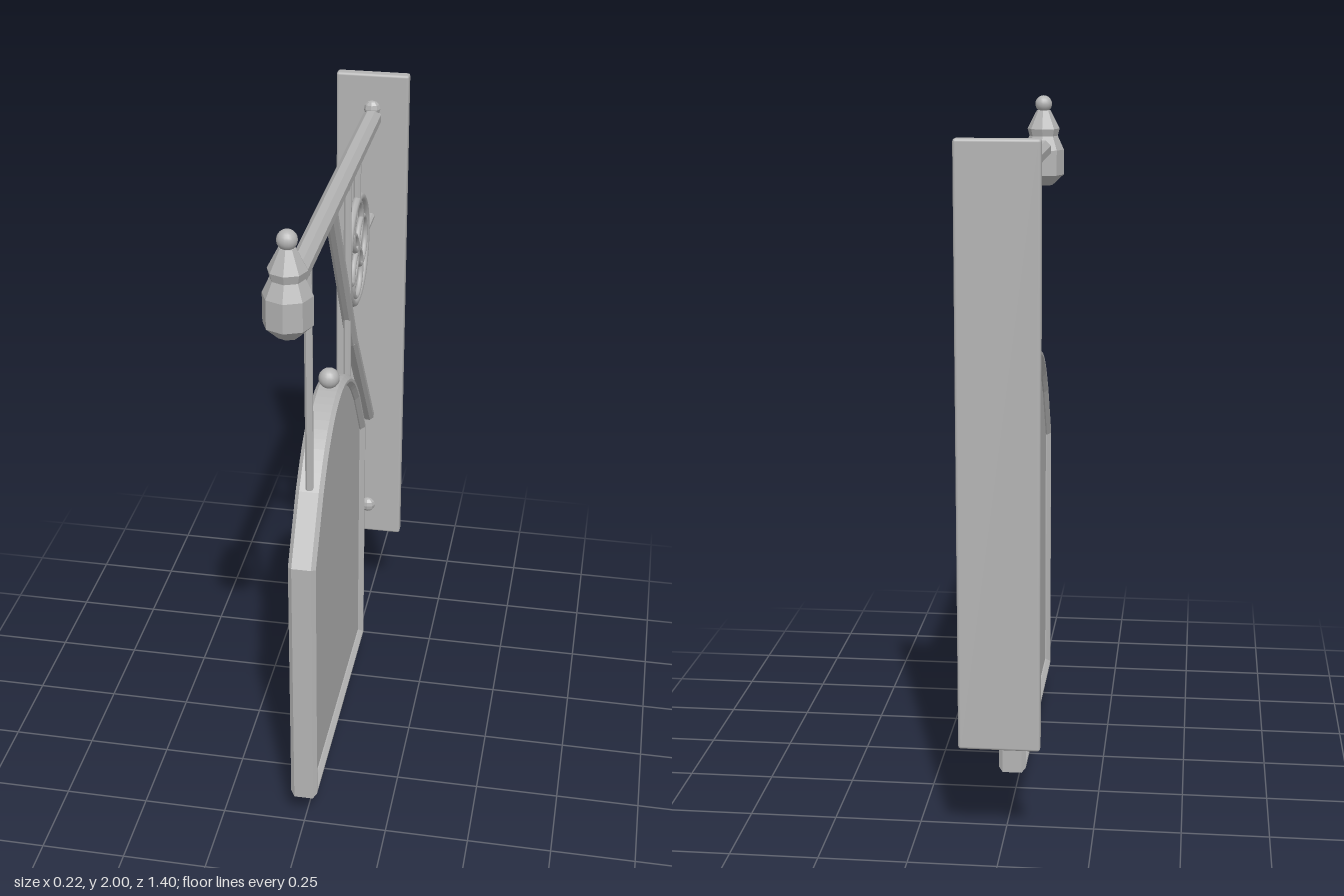
import * as THREE from 'three';
import { RoundedBoxGeometry } from 'three/addons/geometries/RoundedBoxGeometry.js';

const BOARD_Z = 0.075;

export function createModel() {
  const group = new THREE.Group();
  const iron = new THREE.MeshStandardMaterial({ color: 0xb4b4b4 });
  iron.name = 'grey iron';

  const add = (name, geometry, x = 0, y = 0, z = 0) => {
    const mesh = new THREE.Mesh(geometry, iron);
    mesh.name = name;
    mesh.position.set(x, y, z);
    group.add(mesh);
    return mesh;
  };
  // Crisp facets for low-sided parts
  const faceted = (geometry) => {
    const g = geometry.index ? geometry.toNonIndexed() : geometry;
    g.computeVertexNormals();
    return g;
  };
  // Octagonal bar between two [z, y] points in the plane x = 0
  const bar = (name, a, b, halfWidth) => {
    const from = new THREE.Vector3(0, a[1], a[0]);
    const to = new THREE.Vector3(0, b[1], b[0]);
    const r = halfWidth / Math.cos(Math.PI / 8);
    const g = new THREE.CylinderGeometry(r, r, from.distanceTo(to), 8);
    g.rotateY(Math.PI / 8);
    const mesh = add(name, faceted(g));
    mesh.position.copy(from).add(to).multiplyScalar(0.5);
    mesh.quaternion.setFromUnitVectors(new THREE.Vector3(0, 1, 0), to.sub(from).normalize());
  };
  // Ring lying in the plane x = 0
  const ring = (name, z, y, radius, tube, segments = 32) =>
    add(name, new THREE.TorusGeometry(radius, tube, 8, segments).rotateY(-Math.PI / 2), 0, y, z);

  // Wall plate with two bolts
  add('wallPlate', new RoundedBoxGeometry(0.225, 1.65, 0.036, 2, 0.008), 0, 1.145, -0.682);
  for (const y of [1.862, 0.43]) {
    add('plateBolt', faceted(new THREE.SphereGeometry(0.026, 8, 6)), 0, y, -0.662).scale.z = 0.75;
  }

  // Arm and bent brace
  bar('arm', [0.62, 1.832], [-0.67, 1.832], 0.028);
  bar('upperBrace', [0.046, 1.812], [-0.312, 1.235], 0.018);
  bar('lowerBrace', [-0.308, 1.241], [-0.657, 0.787], 0.018);

  // Faceted finial at the arm's end
  const finial = [[0, 1.712], [0.03, 1.714], [0.066, 1.748], [0.066, 1.828], [0.046, 1.872],
    [0.052, 1.895], [0.022, 1.953], [0, 1.955]].map(([r, y]) => new THREE.Vector2(r, y));
  add('finial', faceted(new THREE.LatheGeometry(finial, 8)), 0, 0, 0.635);
  add('finialBall', new THREE.SphereGeometry(0.027, 16, 12), 0, 1.973, 0.635);

  // Hanging rods and their eyes
  for (const z of [0.377, -0.23]) {
    bar('hangingRod', [z, 1.81], [z, 1.11], 0.011);
    ring('hangingEye', z, 1.802, 0.03, 0.009, 16);
  }

  // Ornamental wheel
  const cz = -0.395, cy = 1.505;
  ring('wheelRim', cz, cy, 0.163, 0.013, 40);
  for (let i = 0; i < 4; i++) {
    const a = i * Math.PI / 2;
    ring('wheelFoil', cz + 0.078 * Math.cos(a), cy + 0.078 * Math.sin(a), 0.075, 0.009, 28);
  }
  ring('wheelHub', cz, cy, 0.017, 0.008, 12);
  bar('wheelHanger', [cz, 1.81], [cz, cy + 0.16], 0.011);
  bar('wheelStay', [cz - 0.16, cy], [-0.67, cy], 0.011);

  // Arched board outline, shrunk by an inset
  const outline = (inset) => {
    const k = (0.435 - inset) / 0.435;
    const arch = [[0.312, 1.11], [0.222, 1.198], [0.117, 1.258], [0, 1.28]];
    const half = arch.map(([x, y]) => new THREE.Vector2(x * k, y - inset));
    const mirrored = half.slice(0, 3).reverse().map((p) => new THREE.Vector2(-p.x, p.y));
    const w = 0.435 - inset, shoulder = 0.925 - inset * 0.3, base = 0.1 + inset;
    return [
      new THREE.Vector2(-w, base), new THREE.Vector2(w, base), new THREE.Vector2(w, shoulder),
      ...new THREE.SplineCurve([...half, ...mirrored]).getPoints(24),
      new THREE.Vector2(-w, shoulder),
    ];
  };
  const slab = (shape, halfDepth, bevel) => {
    const depth = 2 * (halfDepth - bevel);
    const g = new THREE.ExtrudeGeometry(shape, {
      depth, bevelEnabled: bevel > 0, bevelThickness: bevel, bevelSize: bevel, bevelSegments: 1,
    });
    return g.translate(0, 0, -depth / 2).rotateY(-Math.PI / 2);
  };

  // Sign board: bevelled frame around a recessed panel
  const bevel = 0.012;
  const frame = new THREE.Shape(outline(bevel));
  frame.holes.push(new THREE.Path(outline(0.031 - bevel + 0.001).reverse()));
  add('signFrame', slab(frame, 0.04, bevel), 0, 0, BOARD_Z);
  add('signPanel', slab(new THREE.Shape(outline(0.016)), 0.024, 0), 0, 0, BOARD_Z);

  // Ball on top and spike below the board
  add('boardBall', new THREE.SphereGeometry(0.031, 16, 12), 0, 1.305, BOARD_Z);
  add('boardSpike', faceted(new THREE.ConeGeometry(0.036, 0.105, 8).rotateX(Math.PI)), 0, 0.0525, BOARD_Z);

  return group;
}
